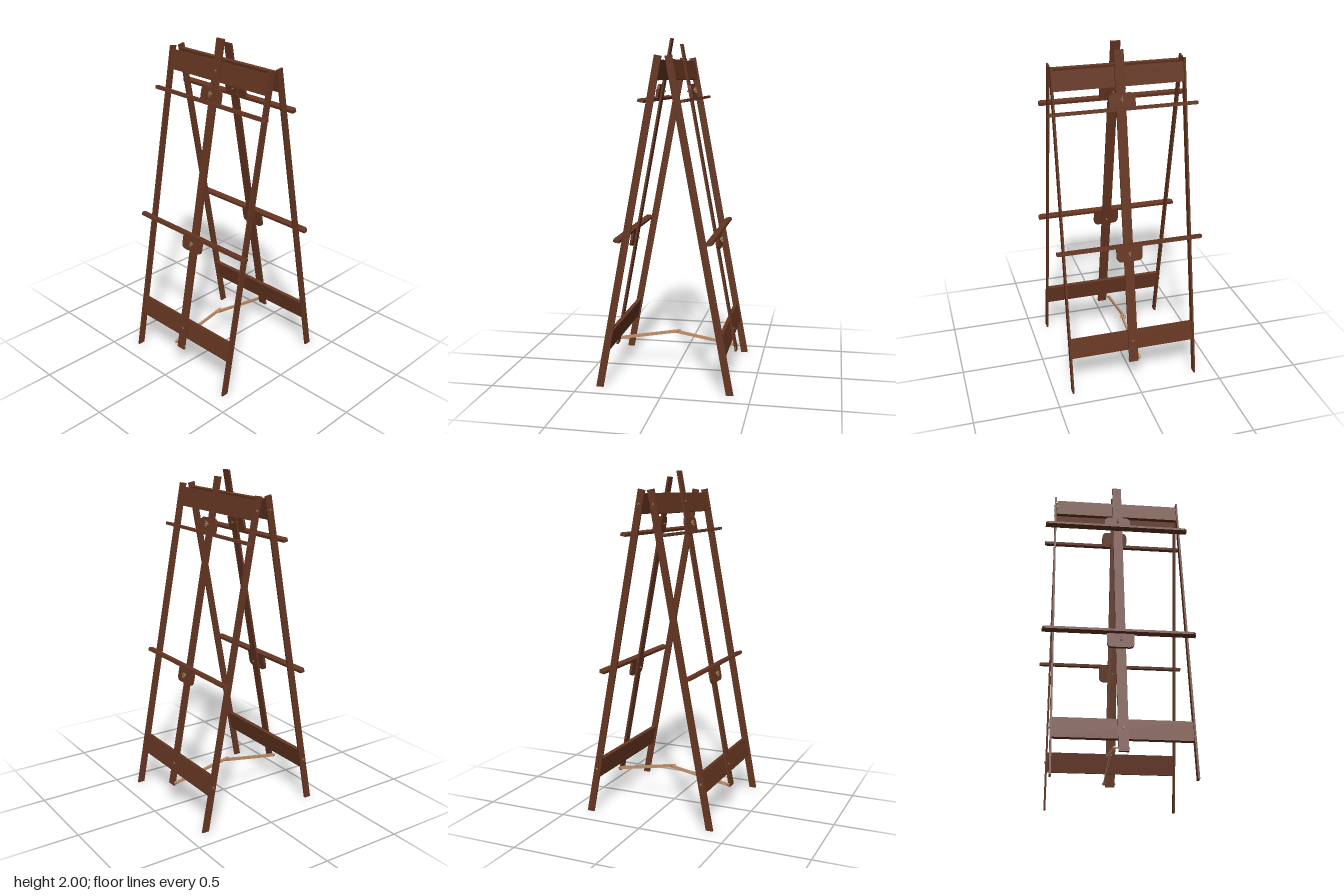
import * as THREE from 'three';

const wood = new THREE.MeshStandardMaterial({ color: 0x663622 });
wood.name = 'dark wood';
const paleWood = new THREE.MeshStandardMaterial({ color: 0xc4926c });
paleWood.name = 'pale wood';
const brass = new THREE.MeshStandardMaterial({ color: 0x8f7652 });
brass.name = 'brass';

const LEAN = 0.183, FOOT_X = 0.379, MID_Z = 0.009;
const sin = Math.sin(LEAN), cos = Math.cos(LEAN);

function add(parent, name, geometry, material, x = 0, y = 0, z = 0) {
  const mesh = new THREE.Mesh(geometry, material);
  mesh.name = name;
  mesh.position.set(x, y, z);
  parent.add(mesh);
  return mesh;
}

function extrude(points, depth) {
  const shape = new THREE.Shape(points.map(([a, b]) => new THREE.Vector2(a, b)));
  return new THREE.ExtrudeGeometry(shape, { depth, bevelEnabled: false }).translate(0, 0, -depth / 2);
}

// Bolt with a wider head at each end, along the given axis
function bolt(parent, name, axis, length, x, y, z, r = 0.004) {
  const group = new THREE.Group();
  group.name = name;
  add(group, 'boltShaft', new THREE.CylinderGeometry(r, r, length, 10), brass);
  for (const e of [-1, 1]) {
    add(group, 'boltHead', new THREE.CylinderGeometry(r * 1.6, r * 1.6, 0.005, 6), brass, 0, e * (length / 2 - 0.0045), 0);
  }
  if (axis === 'x') group.rotation.z = Math.PI / 2;
  if (axis === 'z') group.rotation.x = Math.PI / 2;
  group.position.set(x, y, z);
  parent.add(group);
}

// Clamp plate: square on the ledge side, rounded on the far side (dir = +1 up, -1 down)
function clampGeometry(dir, height) {
  const w = 0.0775, r = 0.032, h = height;
  const shape = new THREE.Shape();
  shape.moveTo(-w, 0);
  shape.lineTo(w, 0);
  shape.lineTo(w, dir * (h - r));
  shape.quadraticCurveTo(w, dir * h, w - r, dir * h);
  shape.lineTo(-w + r, dir * h);
  shape.quadraticCurveTo(-w, dir * h, -w, dir * (h - r));
  const g = new THREE.ExtrudeGeometry(shape, { depth: 0.015, bevelEnabled: false, curveSegments: 8 });
  return g.translate(0, 0, -0.0075).rotateY(Math.PI / 2);
}

// One leaning frame; s = +1 for the +x side, -1 for the -x side
function buildFrame(s) {
  const frame = new THREE.Group();
  frame.name = s > 0 ? 'leftFrame' : 'rightFrame';
  frame.position.x = s * FOOT_X;
  frame.rotation.z = s * LEAN;
  // Height along the frame for a world height y at outward offset u
  const v = (y, u = 0) => (y - u * sin) / cos;

  // Legs, cut flat at the floor
  const half = 0.0205, top = v(1.892);
  const legShape = [
    [s * half, v(0, half)], [s * half, top], [-s * half, top], [-s * half, v(0, -half)],
  ];
  add(frame, 'frontLeg', extrude(legShape, 0.011), wood, 0, 0, 0.392);
  const backLeg = add(frame, 'backLeg', extrude(legShape, 0.011), wood, 0, 0, s > 0 ? -0.375 : -0.369);
  if (s < 0) backLeg.rotation.x = -0.006;

  // Cross rails and their end bolts
  for (const [name, y, h] of [['bottomRail', 0.27, 0.118], ['topRail', 1.815, 0.112]]) {
    add(frame, name, new THREE.BoxGeometry(0.022, h, 0.757), wood, 0, v(y), 0.0085);
    bolt(frame, 'legBolt', 'z', 0.03, 0, v(y), -0.373);
  }

  // Central mast
  const low = v(0.14, 0.016), high = v(s > 0 ? 1.963 : 1.998, 0.016);
  add(frame, 'mast', new THREE.BoxGeometry(0.012, high - low, 0.056), wood, s * 0.016, (low + high) / 2, MID_Z);
  bolt(frame, 'mastBolt', 'x', 0.035, s * 0.01, v(0.27), MID_Z);
  if (s < 0) bolt(frame, 'mastBolt', 'x', 0.035, s * 0.01, v(1.82), MID_Z);

  // Picture ledges with clipped outer corners, clamps and wing nuts
  const u0 = s * 0.023, u1 = s * 0.062, uc = s * 0.05, zEnd = 0.438;
  const outline = [
    [u0, -zEnd], [uc, -zEnd], [u1, -zEnd + 0.015], [u1, zEnd - 0.015], [uc, zEnd], [u0, zEnd],
  ];
  for (const [label, y, dir, h] of [['upper', 1.649, 1, 0.088], ['lower', 0.871, -1, 0.1]]) {
    const level = v(y, 0.042);
    add(frame, label + 'Ledge', extrude(outline, 0.016).rotateX(Math.PI / 2), wood, 0, level, 0);
    add(frame, label + 'Clamp', clampGeometry(dir, h), wood, s * 0.0305, level, 0.007);
    const knobY = level + dir * 0.052;
    bolt(frame, label + 'ClampBolt', 'x', 0.06, s * 0.027, knobY, MID_Z, 0.003);
    add(frame, label + 'WingNut', new THREE.CylinderGeometry(0.005, 0.008, 0.01, 10), brass,
      s * 0.043, knobY, MID_Z).rotation.z = -s * Math.PI / 2;
    for (const e of [-1, 1]) {
      const wing = add(frame, label + 'Wing', new THREE.BoxGeometry(0.015, 0.011, 0.003), brass,
        s * 0.049, knobY + e * 0.01, MID_Z);
      wing.rotation.z = s * e * 0.5;
    }
  }
  return frame;
}

// Folding stay bar with rounded ends, running from the mast foot past the centre
function stayGeometry(length) {
  const r = 0.009;
  const shape = new THREE.Shape();
  shape.absarc(length / 2 - r, 0, r, -Math.PI / 2, Math.PI / 2, false);
  shape.absarc(-length / 2 + r, 0, r, Math.PI / 2, Math.PI * 1.5, false);
  return new THREE.ExtrudeGeometry(shape, { depth: 0.01, bevelEnabled: false, curveSegments: 8 }).translate(0, 0, -0.005);
}

export function createModel() {
  const model = new THREE.Group();
  model.name = 'foldingDisplayStand';
  for (const s of [1, -1]) {
    model.add(buildFrame(s));
    // Stay bar and its pivot at the mast foot
    const a = new THREE.Vector2(s * 0.374, 0.158), b = new THREE.Vector2(-s * 0.02, 0.227);
    const stay = add(model, s > 0 ? 'leftStay' : 'rightStay', stayGeometry(a.distanceTo(b)), paleWood,
      (a.x + b.x) / 2, (a.y + b.y) / 2, s > 0 ? -0.026 : -0.039);
    stay.rotation.z = Math.atan((a.y - b.y) / (a.x - b.x));
    const back = s > 0 ? -0.037 : -0.049;
    bolt(model, 'stayPivot', 'z', 0.041 - back, s * 0.366, 0.16, (0.041 + back) / 2);
  }
  bolt(model, 'centrePivot', 'z', 0.034, 0, 0.224, -0.032);
  return model;
}
